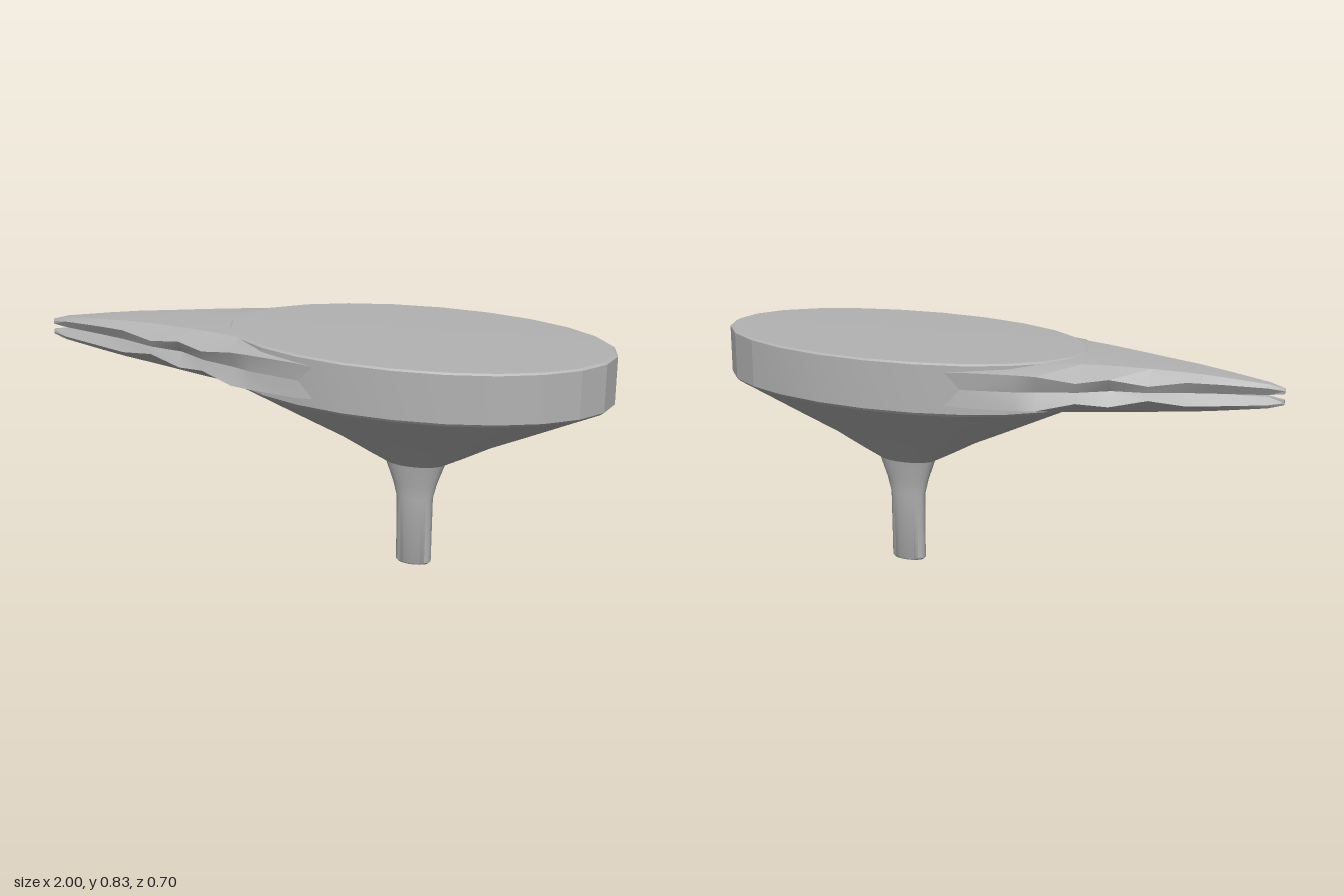
import * as THREE from 'three';
import { toCreasedNormals } from 'three/addons/utils/BufferGeometryUtils.js';

const CENTER_X = 0.333, STRETCH = 1.9, MID_Y = 0.745;

// Elliptical turned form: profile pairs are [half depth, height]
function ovalLathe(profile, crease) {
  const points = profile.map(([r, y]) => new THREE.Vector2(r, y));
  const geometry = new THREE.LatheGeometry(points, 24);
  geometry.scale(STRETCH, 1, 1);
  geometry.translate(CENTER_X, 0, 0);
  return toCreasedNormals(geometry, crease);
}

// Tail stations: x, half width, outer height, lip edge height, groove width factor, gap
// (heights are measured from the middle plane of the tail)
const STATIONS = [
  [-1.0, 0.006, 0.028, 0.020, 0.8, 0.010],
  [-0.95, 0.022, 0.041, 0.028, 0.4, 0.003],
  [-0.8, 0.062, 0.058, 0.036, 0.65, 0],
  [-0.7, 0.092, 0.067, 0.040, 0.76, 0],
  [-0.58, 0.128, 0.074, 0.024, 0.92, 0],
  [-0.46, 0.172, 0.080, 0.046, 0.8, 0],
  [-0.36, 0.214, 0.083, 0.034, 0.93, 0],
  [-0.24, 0.264, 0.084, 0.058, 0.9, 0],
  [-0.17, 0.278, 0.084, 0.060, 0.96, 0],
  [0.0, 0.310, 0.076, 0.060, 0.98, 0],
  [0.12, 0.322, 0.065, 0.050, 0.98, 0],
];

// One half of the split tail; side is 1 for the upper lip, -1 for the lower
function tailLip(side) {
  const positions = [], index = [], N = 7;
  const tri = (a, b, c) => index.push(...(side > 0 ? [a, b, c] : [a, c, b]));
  for (const [x, w, h, e, g, m] of STATIONS) {
    const ring = [
      [0, h], [0.65 * w, h * 0.98], [w, e], [g * w, m],
      [-g * w, m], [-w, e], [-0.65 * w, h * 0.98],
    ];
    for (const [z, y] of ring) positions.push(x, MID_Y + side * y, z);
  }
  for (let i = 0; i < STATIONS.length - 1; i++) {
    for (let j = 0; j < N; j++) {
      const a = i * N + j, b = i * N + (j + 1) % N;
      tri(a, b, a + N);
      tri(b, b + N, a + N);
    }
  }
  for (let j = 1; j < N - 1; j++) tri(0, j + 1, j); // tip cap
  const geometry = new THREE.BufferGeometry();
  geometry.setAttribute('position', new THREE.Float32BufferAttribute(positions, 3));
  geometry.setIndex(index);
  return toCreasedNormals(geometry, 0.35);
}

export function createModel() {
  const model = new THREE.Group();
  const grey = new THREE.MeshStandardMaterial({ color: 0xb2b2b2 });
  grey.name = 'plain grey';
  const add = (name, geometry) => {
    const mesh = new THREE.Mesh(geometry, grey);
    mesh.name = name;
    model.add(mesh);
  };

  // Oval head with a flat top and a funnel-shaped underside
  add('head', ovalLathe([
    [0.055, 0.38], [0.09, 0.415], [0.145, 0.473], [0.215, 0.535], [0.285, 0.598],
    [0.343, 0.65], [0.35, 0.66], [0.35, 0.825], [0.344, 0.831], [0, 0.832],
  ], 0.2));

  // Slim foot flaring into the funnel
  add('stem', ovalLathe([
    [0, 0], [0.029, 0.001], [0.033, 0.008], [0.034, 0.25],
    [0.041, 0.305], [0.055, 0.38],
  ], 0.6));

  // Pointed tail, split into two lips with a groove along each side
  add('upperTail', tailLip(1));
  add('lowerTail', tailLip(-1));
  return model;
}
